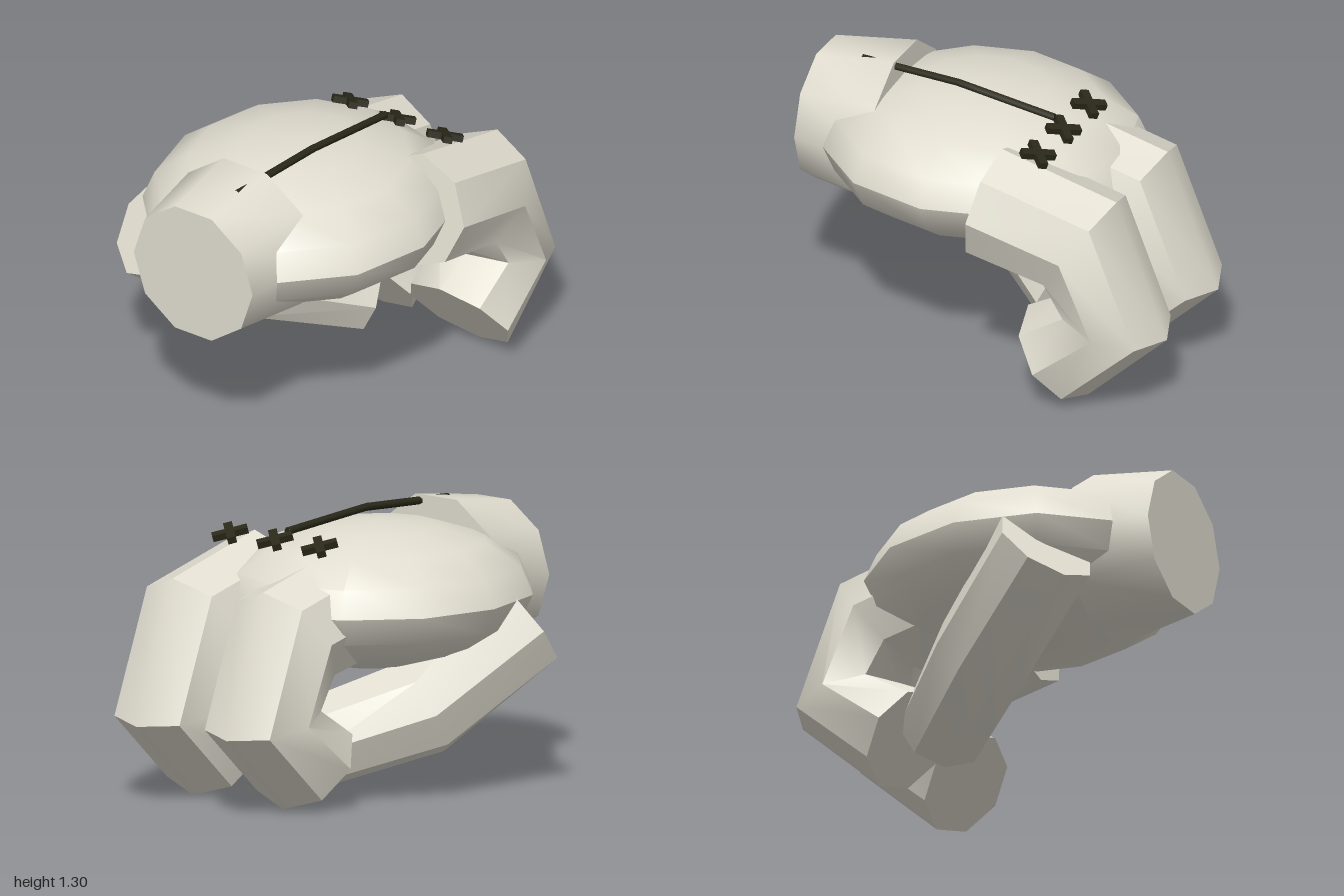
import * as THREE from 'three';
import { toCreasedNormals } from 'three/addons/utils/BufferGeometryUtils.js';

const V = (x, y, z) => new THREE.Vector3(x, y, z);
const CREASE = 0.7;
const SIDES = 8;

// Capped eight-sided limb through rings of { centre, outer, side }, where side x outer points along the limb
function limbGeometry(rings) {
  const positions = [];
  const index = [];
  for (const { centre, outer, side } of rings) {
    for (let j = 0; j < SIDES; j++) {
      const a = (j / SIDES) * Math.PI * 2;
      const p = centre.clone().addScaledVector(side, Math.cos(a)).addScaledVector(outer, Math.sin(a));
      positions.push(p.x, p.y, p.z);
    }
  }
  const last = rings.length - 1;
  for (let i = 0; i < last; i++) {
    for (let j = 0; j < SIDES; j++) {
      const k = (j + 1) % SIDES;
      const a = i * SIDES + j, b = i * SIDES + k;
      index.push(a, b, a + SIDES, b, b + SIDES, a + SIDES);
    }
  }
  const end = last * SIDES;
  for (let j = 1; j < SIDES - 1; j++) {
    index.push(0, j + 1, j, end, end + j, end + j + 1);
  }
  const geometry = new THREE.BufferGeometry();
  geometry.setAttribute('position', new THREE.Float32BufferAttribute(positions, 3));
  geometry.setIndex(index);
  return toCreasedNormals(geometry, CREASE);
}

export function createModel() {
  const group = new THREE.Group();
  const cloth = new THREE.MeshStandardMaterial({ color: 0xe0dccf });
  cloth.name = 'glove cloth';
  const thread = new THREE.MeshStandardMaterial({ color: 0x2a2819 });
  thread.name = 'dark thread';

  const add = (name, geometry, material, parent = group) => {
    const mesh = new THREE.Mesh(geometry, material);
    mesh.name = name;
    parent.add(mesh);
    return mesh;
  };

  // Palm: flattened low-poly ball
  const palm = new THREE.SphereGeometry(1, 12, 8);
  palm.scale(0.78, 0.34, 0.715).translate(-0.17, 0.92, -0.005);
  add('palm', toCreasedNormals(palm, CREASE), cloth);

  // Cuff: ten-sided, widening toward the palm
  const cuff = new THREE.CylinderGeometry(0.342, 0.405, 0.41, 10);
  cuff.rotateZ(Math.PI / 2).translate(-0.795, 0.92, -0.01);
  add('cuff', toCreasedNormals(cuff, CREASE), cloth);

  // Two curled fingers: ring centre x, y and outward offset x, y
  const fingerRings = [
    [0.085, 0.92, 0.055, 0.275],
    [0.565, 0.812, 0.165, 0.238],
    [0.73, 0.445, 0.26, -0.06],
    [0.43, 0.205, 0.155, -0.2],
  ].map(([x, y, ox, oy]) => ({ centre: V(x, y, 0), outer: V(ox, oy, 0), side: V(0, 0, -0.28) }));
  const finger = limbGeometry(fingerRings);
  add('frontFinger', finger, cloth).position.z = 0.475;
  add('backFinger', finger, cloth).position.z = -0.075;

  // Thumb: runs under the palm toward the fingertips
  const path = [V(-0.57, 0.78, -0.55), V(-0.11, 0.42, -0.33), V(0.31, 0.25, 0.02)];
  const radii = [0.25, 0.24, 0.21];
  const thumbRings = path.map((centre, i) => {
    const along = V(0, 0, 0);
    if (i > 0) along.add(centre.clone().sub(path[i - 1]).normalize());
    if (i < 2) along.add(path[i + 1].clone().sub(centre).normalize());
    along.normalize();
    const outer = V(0, 1, 0).projectOnPlane(along).setLength(radii[i]);
    return { centre, outer, side: outer.clone().cross(along) };
  });
  add('thumb', limbGeometry(thumbRings), cloth);

  // Long seam across the back of the hand
  const seamPath = new THREE.CurvePath();
  const seam = [V(-0.77, 1.268, 0.07), V(-0.25, 1.288, 0.13), V(0.265, 1.243, 0.17)];
  seamPath.add(new THREE.LineCurve3(seam[0], seam[1]));
  seamPath.add(new THREE.LineCurve3(seam[1], seam[2]));
  add('seam', new THREE.TubeGeometry(seamPath, 8, 0.019, 6), thread);
  const seamEnd = new THREE.CircleGeometry(0.019, 6);
  seamEnd.rotateY(Math.PI / 2).translate(0.265, 1.243, 0.17);
  add('seamEnd', seamEnd, thread);

  // Three cross stitches beside the knuckles
  for (const z of [0.47, 0.197, -0.075]) {
    const stitch = new THREE.Group();
    stitch.name = 'crossStitch';
    stitch.position.set(0.323, 1.207, z);
    stitch.rotation.z = -0.35;
    for (const turn of [-1, 1]) {
      const bar = add('stitchBar', new THREE.BoxGeometry(0.17, 0.032, 0.042), thread, stitch);
      bar.rotation.y = (turn * Math.PI) / 4;
    }
    group.add(stitch);
  }

  return group;
}
